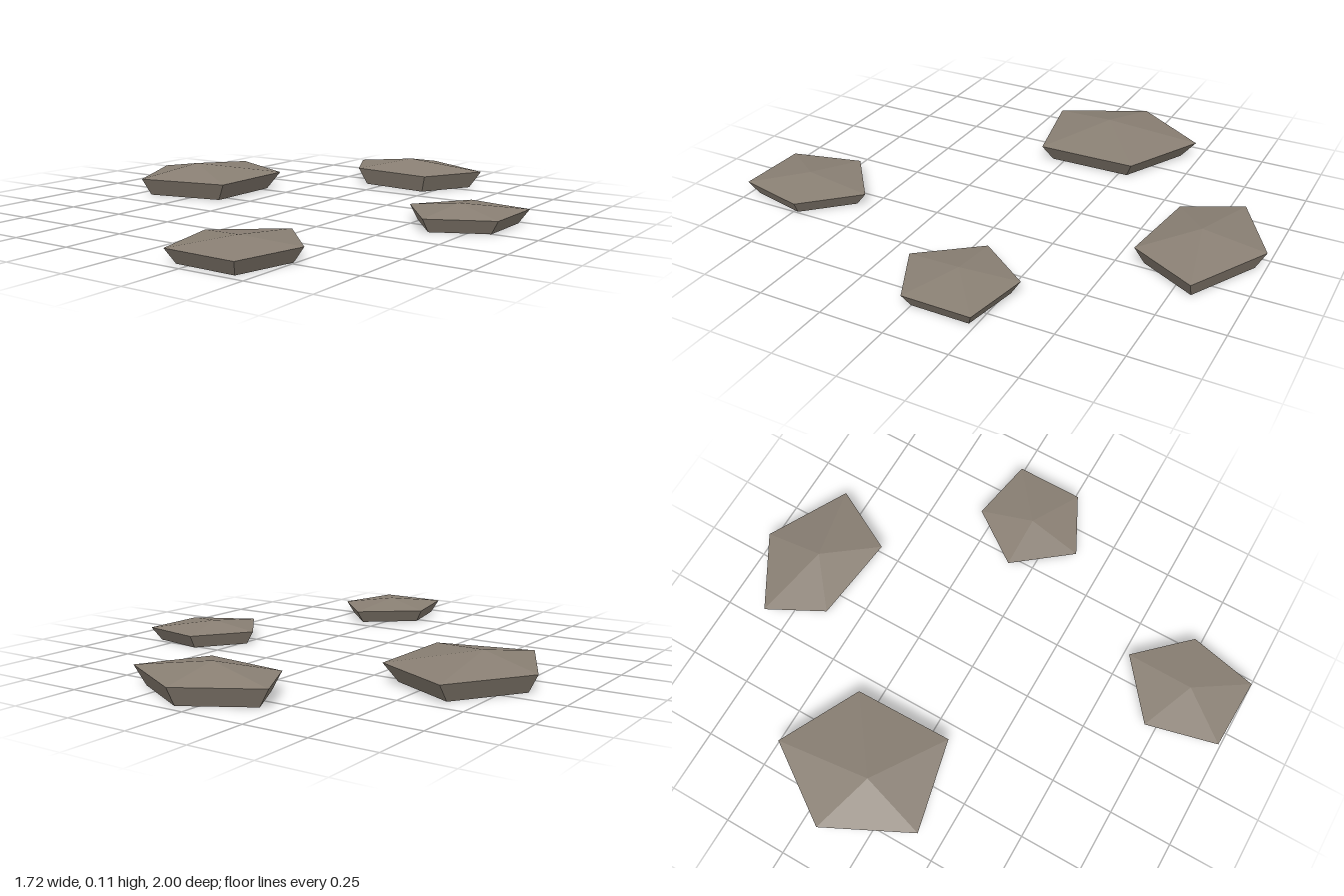
import * as THREE from 'three';

const stone = new THREE.MeshStandardMaterial({ color: 0x8a8074, flatShading: true });
stone.name = 'warm grey stone';

// Each stone: apex [x, y, z], rim height, rim corners [x, z] clockwise from above
const STONES = [
  { name: 'leftStone', apex: [0.653, 0.08, -0.087], rimY: 0.053,
    rim: [[0.6, -0.299], [0.86, -0.251], [0.858, 0.018], [0.622, 0.135], [0.447, -0.087]] },
  { name: 'rightStone', apex: [-0.617, 0.113, -0.1], rimY: 0.071,
    rim: [[-0.653, -0.484], [-0.33, -0.32], [-0.325, 0.08], [-0.695, 0.163], [-0.863, -0.177]] },
  { name: 'backStone', apex: [0.077, 0.112, -0.76], rimY: 0.071,
    rim: [[0.066, -1], [0.384, -0.828], [0.246, -0.569], [-0.108, -0.611], [-0.224, -0.833]] },
  { name: 'frontStone', apex: [0.322, 0.08, 0.795], rimY: 0.053,
    rim: [[0.336, 0.523], [0.526, 0.722], [0.464, 0.997], [0.177, 0.988], [0.108, 0.706]] },
];
const BASE_SCALE = 0.84;

// Faceted stone: shallow peaked top, walls tapering inward to a flat base
function stoneGeometry({ apex, rimY, rim }) {
  const [cx, , cz] = apex;
  const centre = [cx, 0, cz];
  const top = rim.map(([x, z]) => [x, rimY, z]);
  const base = rim.map(([x, z]) => [cx + (x - cx) * BASE_SCALE, 0, cz + (z - cz) * BASE_SCALE]);
  const points = [];
  rim.forEach((_, i) => {
    const j = (i + 1) % rim.length;
    points.push(apex, top[j], top[i]);                               // top facet
    points.push(top[i], top[j], base[j], top[i], base[j], base[i]);  // side wall
    points.push(centre, base[i], base[j]);                           // underside
  });
  const geometry = new THREE.BufferGeometry();
  geometry.setAttribute('position', new THREE.Float32BufferAttribute(points.flat(), 3));
  geometry.computeVertexNormals();
  return geometry;
}

export function createModel() {
  const group = new THREE.Group();
  group.name = 'steppingStones';
  for (const spec of STONES) {
    const mesh = new THREE.Mesh(stoneGeometry(spec), stone);
    mesh.name = spec.name;
    group.add(mesh);
  }
  return group;
}
